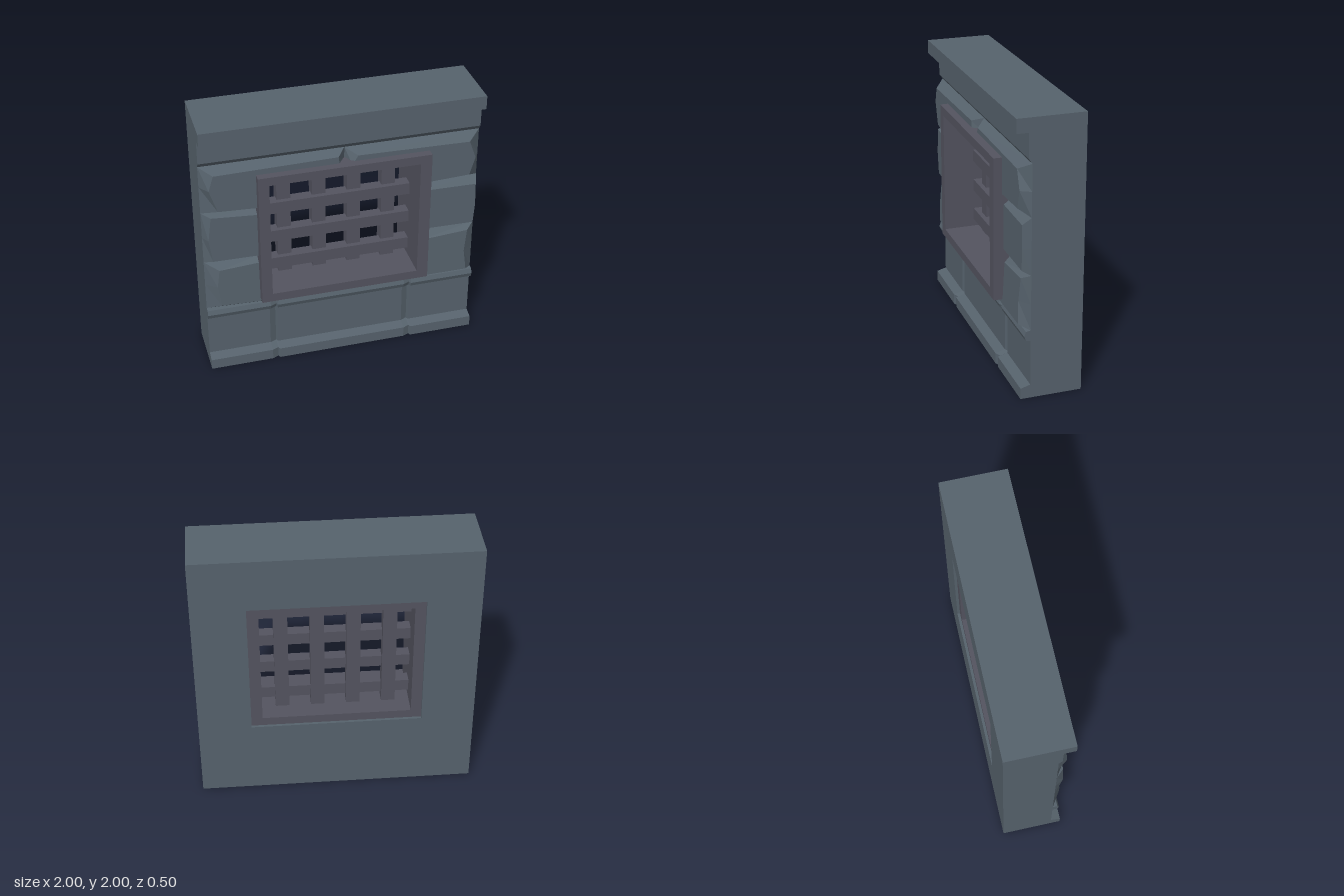
import * as THREE from 'three';

const stoneMat = new THREE.MeshStandardMaterial({ color: 0x56626c, flatShading: true });
const ironMat = new THREE.MeshStandardMaterial({ color: 0x53535f, flatShading: true });

const shapeOf = pts => new THREE.Shape(pts.map(p => new THREE.Vector2(p[0], p[1])));
const rect = (x0, x1, y0, y1) => [[x0, y0], [x1, y0], [x1, y1], [x0, y1]];

// Extruded plate between z0 and z1 with a rectangular opening
function plate(outer, hole, z0, z1) {
  const shape = shapeOf(outer);
  shape.holes.push(shapeOf(hole));
  return new THREE.ExtrudeGeometry(shape, { depth: z1 - z0, bevelEnabled: false }).translate(0, 0, z0);
}

function box(x0, x1, y0, y1, z0, z1) {
  return new THREE.BoxGeometry(x1 - x0, y1 - y0, z1 - z0)
    .translate((x0 + x1) / 2, (y0 + y1) / 2, (z0 + z1) / 2);
}

function fromTriangles(positions) {
  const geo = new THREE.BufferGeometry();
  geo.setAttribute('position', new THREE.Float32BufferAttribute(positions, 3));
  geo.computeVertexNormals();
  return geo;
}

// Chiselled block: a base outline joined to a smaller face outline, both counter-clockwise
function block(base, face, zBase, zFace) {
  const out = [];
  const b = base.map(p => [p[0], p[1], zBase]);
  const f = face.map(p => [p[0], p[1], zFace(p[1])]);
  for (let i = 0; i < b.length; i++) {
    const j = (i + 1) % b.length;
    out.push(...b[i], ...b[j], ...f[j], ...b[i], ...f[j], ...f[i]);
  }
  const flat = face.map(p => new THREE.Vector2(p[0], p[1]));
  for (const [a, c, d] of THREE.ShapeUtils.triangulateShape(flat, [])) out.push(...f[a], ...f[c], ...f[d]);
  return fromTriangles(out);
}

// Closed [z, y] profile swept along x; each station pushes the front points back by its depth
function sweep(profile, stations, zBack) {
  const out = [];
  const ring = ([x, depth]) => profile.map(([z, y]) => [x, y, z > zBack ? z - depth : z]);
  const n = profile.length;
  for (let s = 0; s + 1 < stations.length; s++) {
    const a = ring(stations[s]), b = ring(stations[s + 1]);
    for (let i = 0; i < n; i++) {
      const j = (i + 1) % n;
      out.push(...a[i], ...b[i], ...b[j], ...a[i], ...b[j], ...a[j]);
    }
  }
  const tris = THREE.ShapeUtils.triangulateShape(profile.map(p => new THREE.Vector2(p[0], p[1])), []);
  const first = ring(stations[0]), last = ring(stations[stations.length - 1]);
  for (const [a, b, c] of tris) {
    out.push(...first[a], ...first[b], ...first[c]);
    out.push(...last[a], ...last[c], ...last[b]);
  }
  return fromTriangles(out);
}

export function createModel() {
  const model = new THREE.Group();
  const add = (name, geo, mat, parent = model) => {
    const mesh = new THREE.Mesh(geo, mat);
    mesh.name = name;
    parent.add(mesh);
  };

  // Wall core, with the window opening through it
  const opening = rect(-0.617, 0.617, 0.575, 1.61);
  add('wallCore', plate(rect(-1, 1, 0.5, 2), opening, -0.25, 0.12), stoneMat);
  add('wallFoot', box(-1, 1, 0, 0.5, -0.25, 0.09), stoneMat);

  // Coping and the band under it
  add('coping', box(-1, 1, 1.9, 2, 0.1, 0.23), stoneMat);
  add('upperBand', sweep([[0.1, 1.69], [0.12, 1.69], [0.145, 1.725], [0.145, 1.9], [0.1, 1.9]],
    [[-1, 0], [1, 0]], 0.1), stoneMat);

  // Plinth with skirting, panels and moulding, notched at two joints
  const plinth = [[0.08, 0], [0.19, 0], [0.19, 0.08], [0.12, 0.1], [0.12, 0.43],
    [0.155, 0.437], [0.167, 0.47], [0.155, 0.505], [0.12, 0.51], [0.08, 0.51]];
  add('plinth', sweep(plinth, [[-1, 0], [-0.54, 0], [-0.495, 0.02], [-0.485, 0],
    [0.47, 0], [0.515, 0.02], [0.525, 0]].concat([[1, 0]]), 0.08), stoneMat);

  // Three courses of chiselled stones, trimmed behind the window frame
  const stones = new THREE.Group();
  stones.name = 'stoneCourses';
  model.add(stones);
  const e = 0.585, top = 1.58, low = 0.605, joint = 0.02;
  add('upperStoneRight', block(
    [[-1, 1.32], [-e, 1.32], [-e, top], [joint, top], [joint, 1.69], [-1, 1.69], [-1, 1.53]],
    [[-0.89, 1.36], [-e, 1.345], [-e, top], [-0.03, top], [-0.04, 1.66], [-0.91, 1.645], [-0.945, 1.53]],
    0.12, () => 0.195), stoneMat, stones);
  add('upperStoneLeft', block(
    [[e, 1.32], [1, 1.32], [1, 1.5], [1, 1.69], [joint, 1.69], [joint, top], [e, top]],
    [[e, 1.35], [0.92, 1.365], [0.96, 1.5], [0.91, 1.635], [0.1, 1.65], [0.06, top], [e, top]],
    0.12, () => 0.192), stoneMat, stones);
  add('middleStoneRight', block(
    [[-1, 0.91], [-e, 0.91], [-e, 1.32], [-1, 1.32], [-1, 1.12]],
    [[-0.94, 0.945], [-e, 0.94], [-e, 1.278], [-0.94, 1.305], [-0.965, 1.12]],
    0.12, () => 0.18), stoneMat, stones);
  add('middleStoneLeft', block(
    [[e, 0.91], [1, 0.91], [1, 1.1], [1, 1.32], [e, 1.32]],
    [[e, 0.95], [0.975, 0.945], [0.985, 1.1], [0.98, 1.27], [e, 1.275]],
    0.12, () => 0.18), stoneMat, stones);
  const lean = y => 0.19 - 0.05 * (y - 0.53);
  add('lowerStoneRight', block(
    [[-1, 0.51], [joint, 0.51], [joint, low], [-e, low], [-e, 0.91], [-1, 0.91], [-1, 0.72]],
    [[-0.9, 0.56], [-0.04, 0.525], [-0.04, low], [-e, low], [-e, 0.875], [-0.9, 0.855], [-0.92, 0.72]],
    0.12, lean), stoneMat, stones);
  add('lowerStoneLeft', block(
    [[joint, 0.51], [1, 0.51], [1, 0.7], [1, 0.91], [e, 0.91], [e, low], [joint, low]],
    [[0.1, 0.54], [0.94, 0.54], [0.92, 0.7], [0.94, 0.875], [e, 0.85], [e, low], [0.05, low]],
    0.12, lean), stoneMat, stones);

  // Window frame, slightly recessed at the back
  add('windowFrame', plate(opening, rect(-0.54, 0.535, 0.64, 1.545), -0.23, 0.252), ironMat);

  // Grille: upright bars with cross bars set a little further forward
  const grille = new THREE.Group();
  grille.name = 'grille';
  model.add(grille);
  for (const x of [-0.387, -0.13, 0.127, 0.384])
    add('uprightBar', box(x - 0.05, x + 0.05, 0.63, 1.555, -0.1, -0.01), ironMat, grille);
  for (const y of [0.74, 0.975, 1.21, 1.445])
    add('crossBar', box(-0.55, 0.545, y - 0.045, y + 0.045, -0.06, 0.025), ironMat, grille);

  return model;
}
